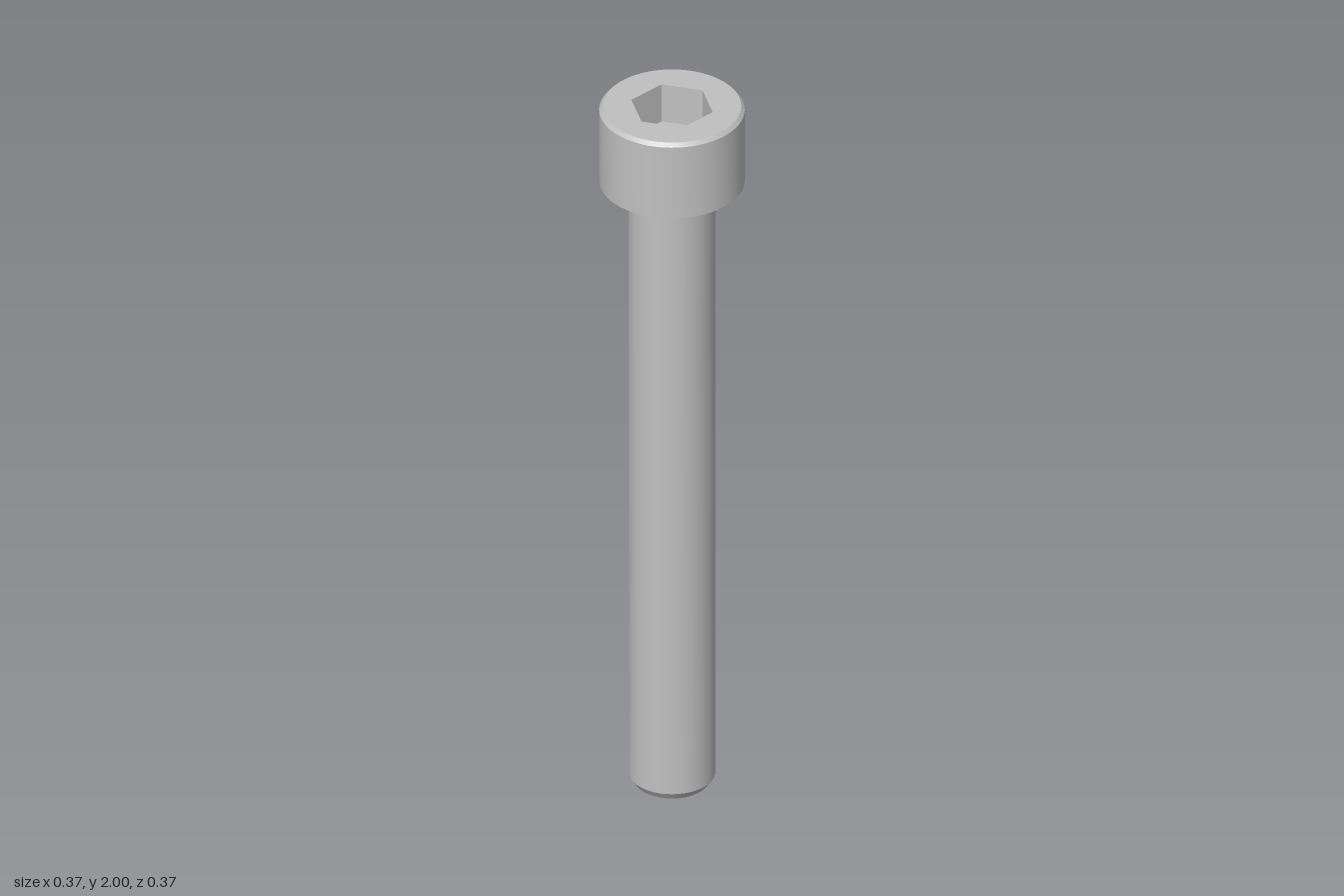
import * as THREE from 'three';
import { toCreasedNormals } from 'three/addons/utils/BufferGeometryUtils.js';

const SIDES = 64;
const HEX = 0.107;          // socket corner radius
const SOCKET_DEPTH = 0.11;
const TOP = 2, HEAD_BASE = 1.78;

export function createModel() {
  const group = new THREE.Group();
  group.name = 'socketHeadScrew';
  const steel = new THREE.MeshStandardMaterial({ color: 0xc0c0c0 });
  steel.name = 'steel';

  const add = (name, geometry, y = 0) => {
    const mesh = new THREE.Mesh(geometry, steel);
    mesh.name = name;
    mesh.position.y = y;
    group.add(mesh);
  };
  // Turned part from [radius, height] pairs, keeping its edges sharp
  const turned = (profile) => toCreasedNormals(
    new THREE.LatheGeometry(profile.map(([r, y]) => new THREE.Vector2(r, y)), SIDES), 0.4);

  // Shank with chamfered tip
  add('shank', turned([[0, 0], [0.095, 0], [0.11, 0.022], [0.11, HEAD_BASE]]));

  // Head side, underside and top chamfer
  add('head', turned([[0.11, HEAD_BASE], [0.184, HEAD_BASE], [0.184, TOP - 0.01], [0.175, TOP]]));

  // Flat head top with a hexagonal opening
  const face = new THREE.Shape().absarc(0, 0, 0.175, 0, Math.PI * 2);
  const corners = Array.from({ length: 6 }, (_, i) =>
    new THREE.Vector2(HEX * Math.cos(i * Math.PI / 3), HEX * Math.sin(i * Math.PI / 3)));
  face.holes.push(new THREE.Path(corners));
  add('headTop', new THREE.ShapeGeometry(face, SIDES).rotateX(-Math.PI / 2), TOP);

  // Socket walls, mirrored so they face inward, and floor
  const walls = new THREE.CylinderGeometry(HEX, HEX, SOCKET_DEPTH, 6, 1, true)
    .rotateY(Math.PI / 6).scale(-1, 1, 1).toNonIndexed();
  walls.computeVertexNormals();
  add('socketWalls', walls, TOP - SOCKET_DEPTH / 2);
  add('socketFloor', new THREE.CircleGeometry(HEX, 6).rotateX(-Math.PI / 2), TOP - SOCKET_DEPTH);

  return group;
}
